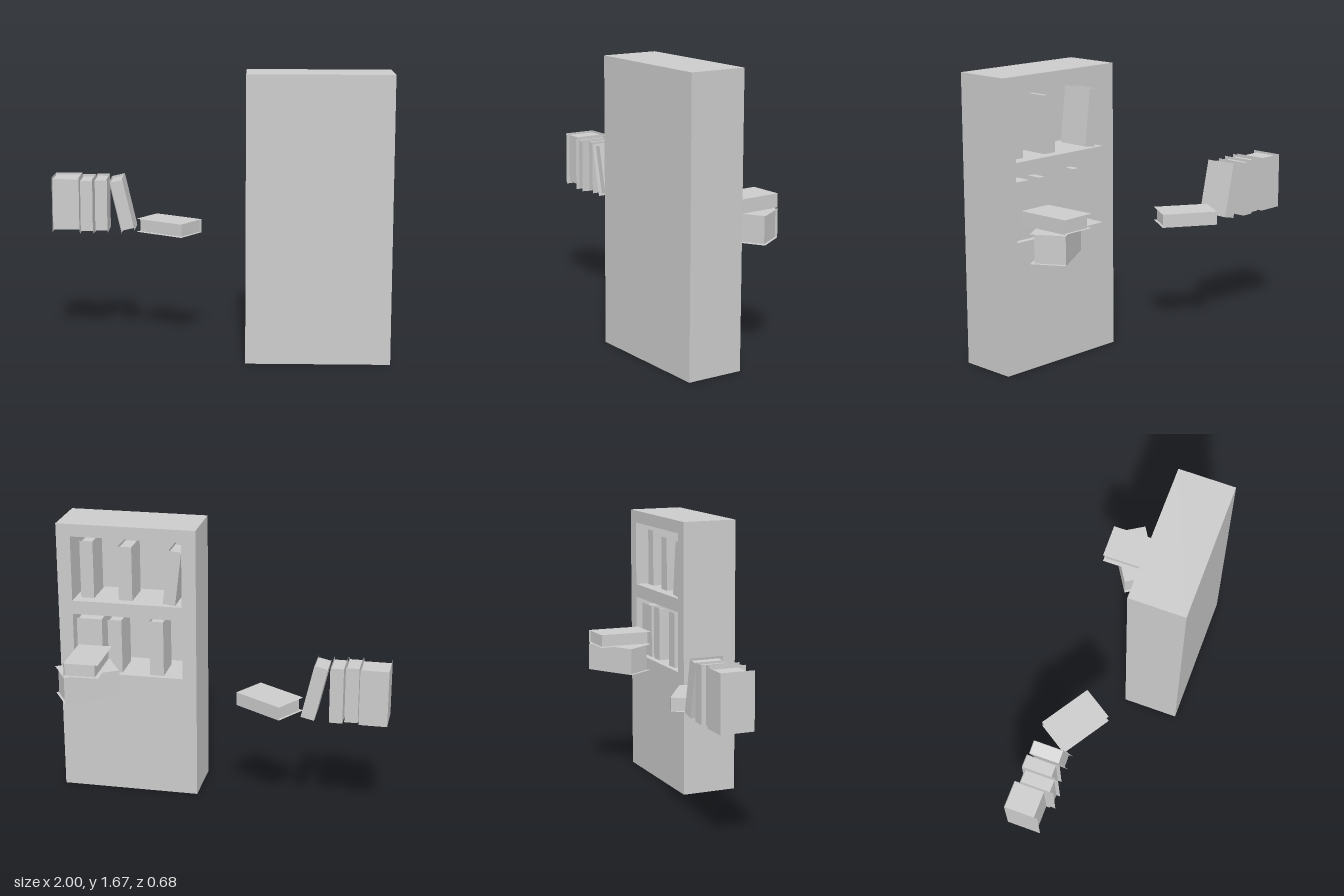
import * as THREE from 'three';

const solid = new THREE.MeshStandardMaterial({ color: 0xcccccc, flatShading: true });
const sheet = new THREE.MeshStandardMaterial({ color: 0xcccccc, flatShading: true, side: THREE.DoubleSide });

function add(parent, name, geometry, material, x = 0, y = 0, z = 0) {
  const mesh = new THREE.Mesh(geometry, material);
  mesh.name = name;
  mesh.position.set(x, y, z);
  parent.add(mesh);
  return mesh;
}

// Box made of only the listed faces: 0 +x, 1 -x, 2 +y, 3 -y, 4 +z, 5 -z
function partialBox(w, h, d, faces) {
  const g = new THREE.BoxGeometry(w, h, d);
  const all = Array.from(g.index.array);
  g.setIndex(faces.flatMap((f) => all.slice(f * 6, f * 6 + 6)));
  g.clearGroups();
  return g;
}

// Book with a thin folded cover (spine at -z) around a smaller page block
function makeBook(name, w, h, d = 0.2) {
  const book = new THREE.Group();
  book.name = name;
  add(book, 'cover', partialBox(w, h, d, [0, 1, 5]), sheet);
  add(book, 'pages', new THREE.BoxGeometry(w - 0.004, h - 0.026, d - 0.024), solid, 0, 0, -0.01);
  return book;
}

// Upright book from its centre x, base y and spine z; lean tips the top towards -x
function standing(parent, name, w, h, x, base, spineZ, lean = 0) {
  const book = makeBook(name, w, h);
  const half = (h * Math.cos(lean) + w * Math.sin(lean)) / 2;
  book.position.set(x, base + half, spineZ + 0.1);
  book.rotation.z = lean;
  parent.add(book);
}

// Book lying on its side, turned about the vertical
function lying(parent, name, w, h, d, x, y, z, turn, tip = 0) {
  const book = makeBook(name, w, h, d);
  book.rotation.set(0, turn, -Math.PI / 2 + tip, 'YXZ');
  book.position.set(x, y, z);
  parent.add(book);
}

function makeBookcase() {
  const bookcase = new THREE.Group();
  bookcase.name = 'bookcase';
  const x0 = 0.165, x1 = 1, height = 1.67, depth = 0.34;
  const inner0 = 0.25, inner1 = 0.915, cavityDepth = 0.3;
  const openings = [[0.75, 1.118], [1.2, 1.595]];

  // Outer shell, open underneath
  add(bookcase, 'shell', partialBox(x1 - x0, height, depth, [0, 1, 2, 4]), sheet,
    (x0 + x1) / 2, height / 2, depth / 2);

  // Face panel with two shelf openings
  const rect = (path, a, b, c, d) => path.moveTo(a, b).lineTo(c, b).lineTo(c, d).lineTo(a, d).closePath();
  const face = rect(new THREE.Shape(), x0, 0, x1, height);
  for (const [low, high] of openings) {
    face.holes.push(rect(new THREE.Path(), inner0, low, inner1, high));
    add(bookcase, 'shelfCavity', partialBox(inner1 - inner0, high - low, cavityDepth, [0, 1, 2, 3, 4]), sheet,
      (inner0 + inner1) / 2, (low + high) / 2, cavityDepth / 2);
  }
  add(bookcase, 'facePanel', new THREE.ShapeGeometry(face), sheet);
  return bookcase;
}

export function createModel() {
  const model = new THREE.Group();
  model.name = 'bookcaseWithBooks';
  model.add(makeBookcase());

  // Books on the shelves
  const shelved = new THREE.Group();
  shelved.name = 'shelvedBooks';
  model.add(shelved);
  standing(shelved, 'upperBook', 0.08, 0.35, 0.84, 1.201, 0.07);
  standing(shelved, 'upperBook', 0.083, 0.33, 0.605, 1.201, 0.062);
  standing(shelved, 'upperLeaningBook', 0.075, 0.33, 0.312, 1.201, 0.02, 0.12);
  standing(shelved, 'lowerBook', 0.155, 0.33, 0.825, 0.751, 0.035);
  standing(shelved, 'lowerBook', 0.085, 0.33, 0.67, 0.751, 0.037);
  standing(shelved, 'lowerBook', 0.085, 0.34, 0.413, 0.751, 0.028);

  // Two stacked books beside the bookcase
  lying(model, 'stackLowerBook', 0.165, 0.335, 0.2, 0.787, 0.762, -0.17, 0.555);
  lying(model, 'stackUpperBook', 0.08, 0.335, 0.205, 0.779, 0.89, -0.17, -Math.PI / 2 + 0.02, -0.012);

  // Separate row of books
  const row = new THREE.Group();
  row.name = 'bookRow';
  model.add(row);
  standing(row, 'rowBook', 0.162, 0.332, -0.919, 0.678, -0.305);
  standing(row, 'rowBook', 0.077, 0.33, -0.792, 0.675, -0.275);
  standing(row, 'rowBook', 0.077, 0.33, -0.707, 0.675, -0.298);
  standing(row, 'rowLeaningBook', 0.08, 0.325, -0.58, 0.675, -0.29, 0.225);
  lying(row, 'rowFlatBook', 0.08, 0.333, 0.21, -0.302, 0.715, -0.148, -0.57);
  return model;
}
